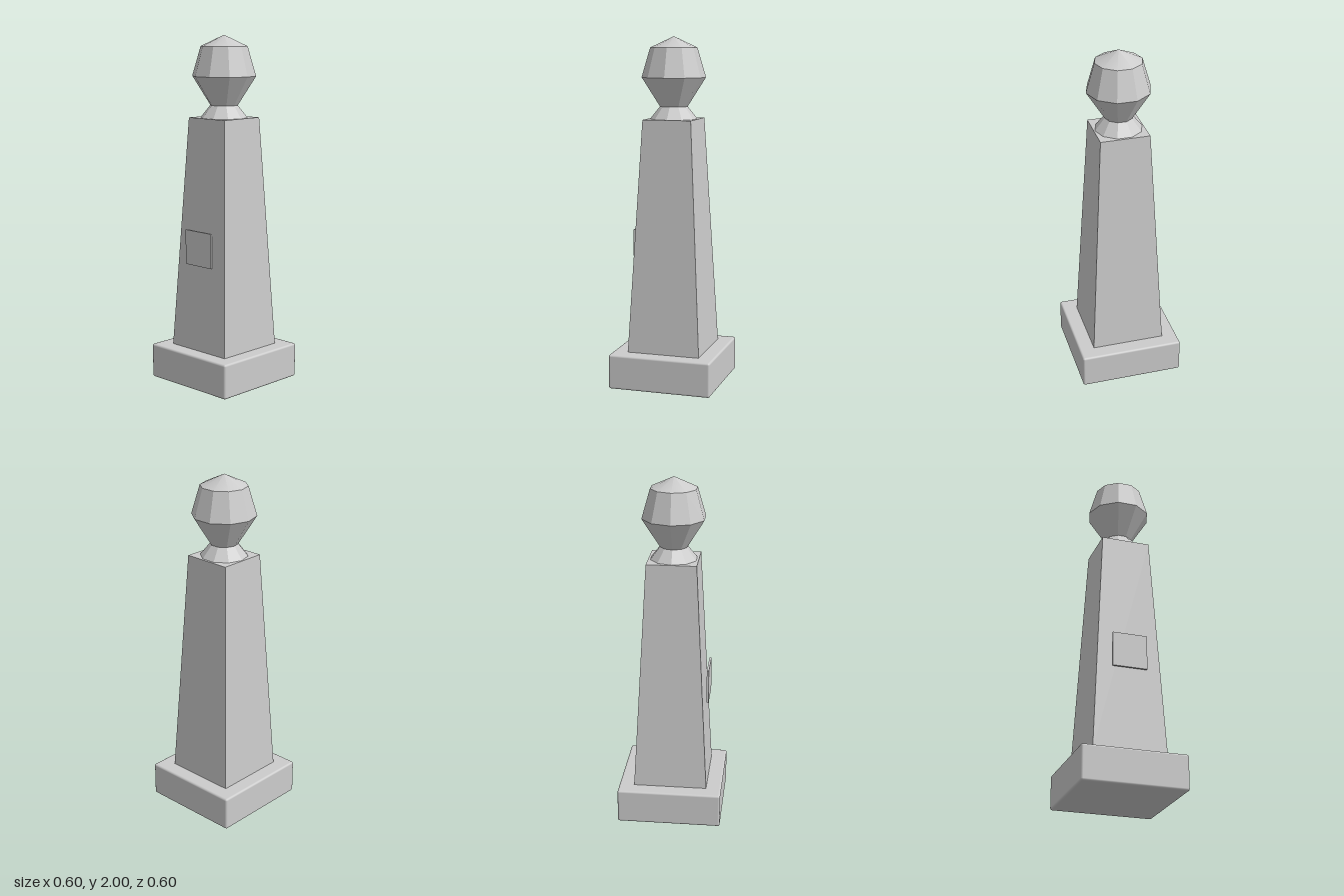
import * as THREE from 'three';
import { RoundedBoxGeometry } from 'three/addons/geometries/RoundedBoxGeometry.js';

const stone = new THREE.MeshStandardMaterial({ color: 0xcccccc });
stone.name = 'stone grey';

export function createModel() {
  const model = new THREE.Group();
  model.name = 'stonePost';

  const add = (name, geometry, x = 0, y = 0, z = 0) => {
    const mesh = new THREE.Mesh(geometry, stone);
    mesh.name = name;
    mesh.position.set(x, y, z);
    model.add(mesh);
    return mesh;
  };

  // ten-sided turned shape with a corner on the x axis
  const turned = (points) =>
    new THREE.LatheGeometry(points.map(([r, y]) => new THREE.Vector2(r, y)), 10, Math.PI / 2);

  // turned shape with hard edges between facets
  const faceted = (points) => {
    const geometry = turned(points).toNonIndexed();
    geometry.computeVertexNormals();
    return geometry;
  };

  // square plinth with softened edges
  add('base', new RoundedBoxGeometry(0.6, 0.2, 0.6, 2, 0.012), 0, 0.1, 0);

  // tapering four-sided shaft
  const shaftHeight = 1.335;
  const shaft = new THREE.CylinderGeometry(0.2, 0.3, shaftHeight, 4, 1, false, Math.PI / 4).toNonIndexed();
  shaft.computeVertexNormals();
  add('shaft', shaft, 0, 0.2 + shaftHeight / 2, 0);

  // small square plaque standing just off the front face
  add('plaque', new THREE.BoxGeometry(0.2, 0.2, 0.012), 0, 0.8, 0.206);

  // faceted finial with a pinched neck
  add('finial', faceted([[0.135, 1.535], [0.079, 1.605], [0.183, 1.77], [0.134, 1.937]]));

  // softly shaded peak of the finial
  add('finialCap', turned([[0.134, 1.937], [0, 2]]));

  return model;
}
